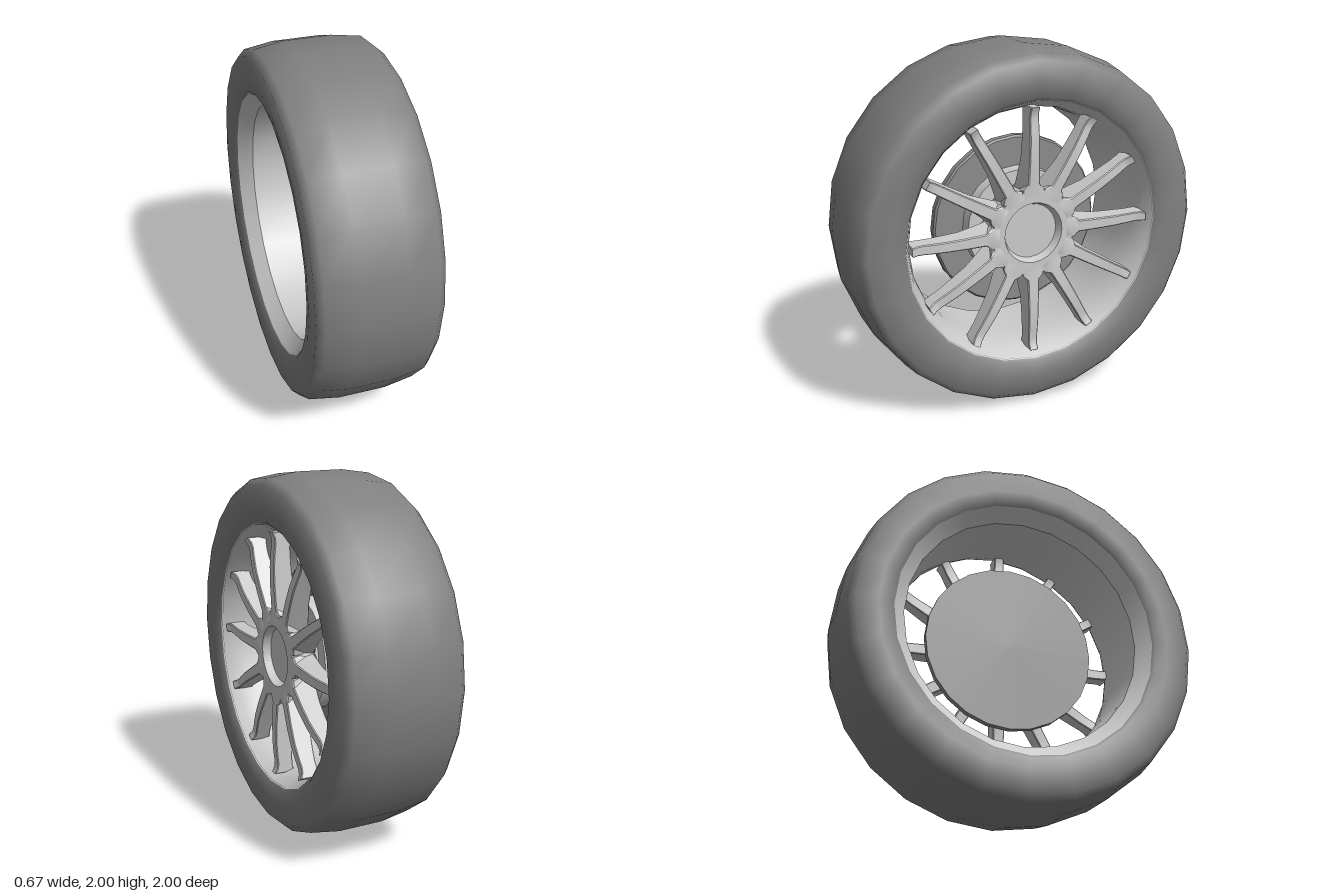
import * as THREE from 'three';
import { toCreasedNormals } from 'three/addons/utils/BufferGeometryUtils.js';

const SIDES = 24;
const SPOKES = 12;

// Turned part around the x axis; profile points are [radius, x]
function turned(name, profile, material, crease) {
  const points = profile.map(([r, x]) => new THREE.Vector2(r, x));
  const geometry = new THREE.LatheGeometry(points, SIDES);
  geometry.rotateZ(-Math.PI / 2);
  const mesh = new THREE.Mesh(toCreasedNormals(geometry, crease), material);
  mesh.name = name;
  return mesh;
}

// Blade-like spoke: side outline in (radius, x), widened at the root and the back
function spokeGeometry() {
  const outline = [
    [0.2, 0.278], [0.245, 0.279], [0.275, 0.281], [0.4, 0.288], [0.5, 0.289],
    [0.58, 0.283], [0.63, 0.277], [0.66, 0.28], [0.692, 0.295],
    [0.692, 0.175], [0.66, 0.185], [0.6, 0.19], [0.5, 0.185], [0.4, 0.175],
    [0.275, 0.15], [0.245, 0.145], [0.2, 0.145],
  ].map(([r, x]) => new THREE.Vector2(r, x));
  const geometry = new THREE.ExtrudeGeometry(new THREE.Shape(outline), {
    depth: 2, steps: 1, bevelEnabled: true,
    bevelThickness: 0.2, bevelSize: 0.005, bevelOffset: -0.005, bevelSegments: 1,
  });
  geometry.translate(0, 0, -1);
  const p = geometry.attributes.position;
  for (let i = 0; i < p.count; i++) {
    const r = p.getX(i), x = p.getY(i), side = p.getZ(i) / 1.2;
    const root = 0.025 * THREE.MathUtils.clamp((0.275 - r) / 0.03, 0, 1);
    const taper = 0.034 - 0.02 * (r - 0.25);
    const draft = 0.03 * (0.28 - x);
    p.setXYZ(i, x, r, -side * (taper + root + draft));
  }
  return toCreasedNormals(geometry, 0.5);
}

export function createModel() {
  const group = new THREE.Group();
  const metal = new THREE.MeshStandardMaterial({ color: 0xcccccc });
  const rubber = new THREE.MeshStandardMaterial({ color: 0x808080 });
  const iron = new THREE.MeshStandardMaterial({ color: 0x8c8c8c });
  const wheel = new THREE.Group();
  wheel.name = 'wheel';
  wheel.position.y = 1;
  group.add(wheel);

  // Tyre, mirrored about its middle
  const half = [[0.73, 0.305], [0.75, 0.322], [0.82, 0.333], [0.94, 0.333], [0.975, 0.295], [1, 0.13]];
  const tyreProfile = [
    ...half.map(([r, x]) => [r, -x]),
    ...half.slice().reverse(),
  ];
  wheel.add(turned('tyre', tyreProfile, rubber, 1.0));

  // Rim barrel: dished towards the spokes, stepped at the open back
  wheel.add(turned('rim', [
    [0.735, 0.312], [0.705, 0.26], [0.682, 0.2], [0.67, 0.12], [0.666, 0.03],
    [0.666, -0.235], [0.735, -0.312],
  ], metal, 0.55));

  // Hub with its conical recess and flat cap
  wheel.add(turned('hub', [
    [0, 0.12], [0.24, 0.12], [0.24, 0.278], [0.17, 0.278], [0.153, 0.235], [0, 0.235],
  ], metal, 0.5));

  // Brake disc and its raised centre
  wheel.add(turned('brakeDisc', [
    [0, -0.005], [0.488, -0.005], [0.488, 0.035], [0.478, 0.045], [0, 0.045],
  ], iron, 0.5));
  wheel.add(turned('brakeDiscCentre', [[0.32, 0.04], [0.32, 0.125], [0, 0.125]], metal, 0.5));

  // Spokes
  const spokes = new THREE.Group();
  spokes.name = 'spokes';
  const blade = spokeGeometry();
  for (let i = 0; i < SPOKES; i++) {
    const spoke = new THREE.Mesh(blade, metal);
    spoke.name = 'spoke';
    spoke.rotation.x = (i * 2 * Math.PI) / SPOKES;
    spokes.add(spoke);
  }
  wheel.add(spokes);
  return group;
}
